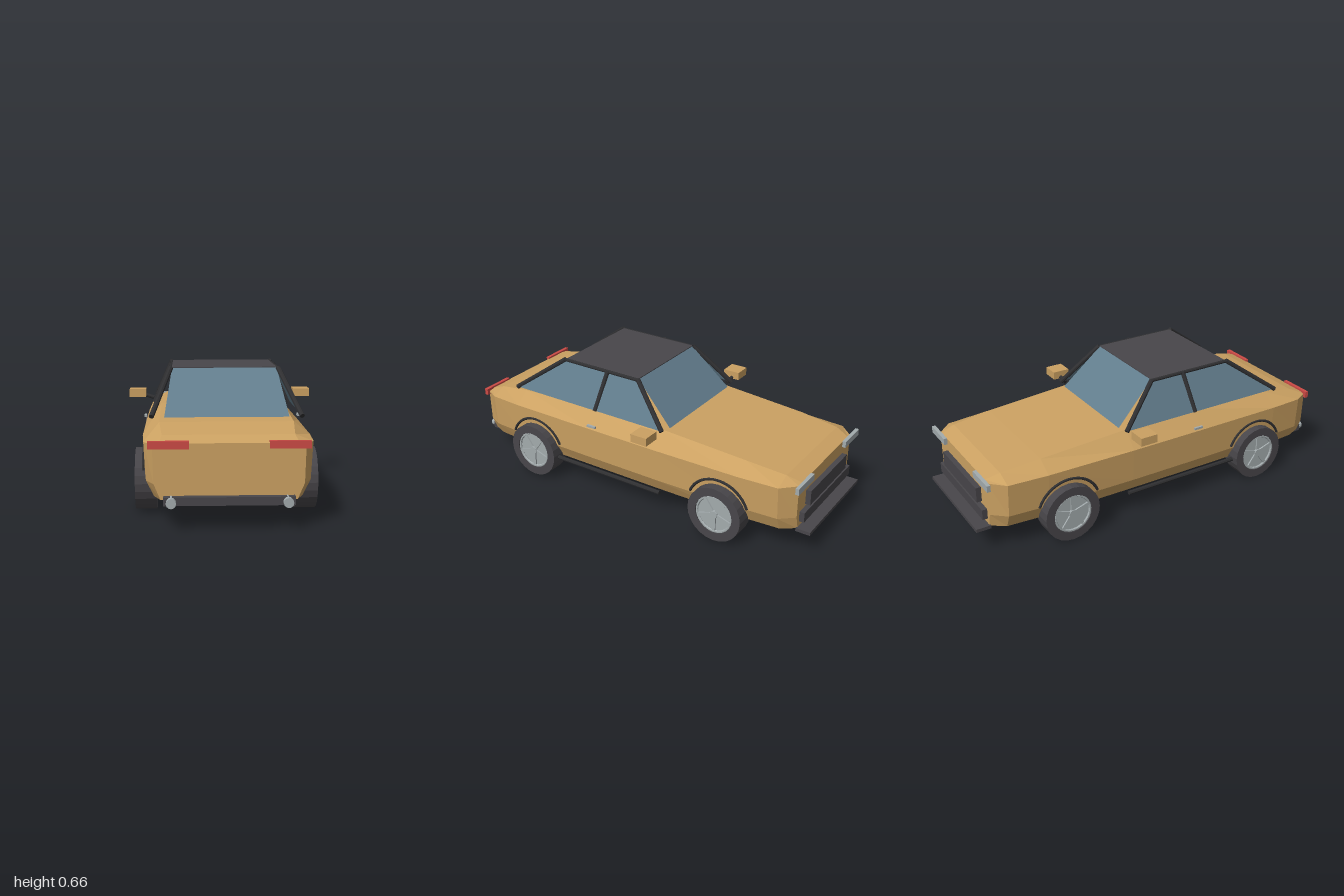
import * as THREE from 'three';

const mat = (name, color, side = THREE.FrontSide) =>
  new THREE.MeshStandardMaterial({ name, color, side, flatShading: true });

export function createModel() {
  const car = new THREE.Group();
  car.name = 'car';
  const paint = mat('tan paint', 0xcba162);
  const glass = mat('blue glass', 0x627d8d, THREE.DoubleSide);
  const dark = mat('dark grey', 0x48464a);
  const trim = mat('black trim', 0x2f2f31);
  const silver = mat('silver', 0xa3abad);
  const red = mat('red lens', 0xcc4a45);

  const add = (name, geo, material, parent = car) => {
    const m = new THREE.Mesh(geo, material);
    m.name = name;
    parent.add(m);
    return m;
  };
  // box given by its extents on each axis
  const box = (name, material, [x0, x1], [y0, y1], [z0, z1]) =>
    add(name, new THREE.BoxGeometry(Math.abs(x1 - x0), y1 - y0, z1 - z0), material)
      .position.set((x0 + x1) / 2, (y0 + y1) / 2, (z0 + z1) / 2);
  // round bar between two points
  const bar = (name, material, a, b, r, sides = 8) => {
    const p = new THREE.Vector3(...a), q = new THREE.Vector3(...b);
    const m = add(name, new THREE.CylinderGeometry(r, r, p.distanceTo(q), sides), material);
    m.position.copy(p).lerp(q, 0.5);
    m.quaternion.setFromUnitVectors(new THREE.Vector3(0, 1, 0), q.sub(p).normalize());
  };
  // flat four-cornered pane
  const pane = (name, a, b, c, d) => {
    const g = new THREE.BufferGeometry();
    g.setAttribute('position', new THREE.Float32BufferAttribute([...a, ...b, ...c, ...d], 3));
    g.setIndex([0, 1, 2, 0, 2, 3]);
    g.computeVertexNormals();
    add(name, g, glass);
  };

  // Body: faceted sections of z, sill, lower side, waist and top half-widths, top height
  const stations = [
    [-0.93, 0.27, 0.29, 0.29, 0.26, 0.37],
    [-0.86, 0.32, 0.35, 0.36, 0.28, 0.395],
    [-0.66, 0.335, 0.365, 0.375, 0.295, 0.415],
    [-0.2, 0.34, 0.375, 0.383, 0.305, 0.445],
    [0.2, 0.34, 0.375, 0.383, 0.305, 0.452],
    [0.68, 0.34, 0.372, 0.38, 0.305, 0.425],
    [0.86, 0.325, 0.36, 0.37, 0.29, 0.395],
    [0.935, 0.295, 0.325, 0.33, 0.3, 0.37],
  ];
  const pos = [], idx = [];
  for (const [z, sill, low, waist, top, h] of stations) {
    const half = [[sill, 0.125], [low, 0.195], [waist, 0.365], [top, h]];
    const ring = [...half, ...half.map(([x, y]) => [-x, y]).reverse()];
    ring.forEach(([x, y]) => pos.push(x, y, z));
  }
  const n = 8, last = (stations.length - 1) * n;
  for (let s = 0; s < last; s += n)
    for (let j = 0; j < n; j++) {
      const a = s + j, b = s + (j + 1) % n;
      idx.push(a, b, b + n, a, b + n, a + n);
    }
  for (let j = 1; j < n - 1; j++) idx.push(0, j + 1, j, last, last + j, last + j + 1);
  const bodyGeo = new THREE.BufferGeometry();
  bodyGeo.setAttribute('position', new THREE.Float32BufferAttribute(pos, 3));
  bodyGeo.setIndex(idx);
  bodyGeo.computeVertexNormals();
  add('body', bodyGeo, paint);

  // Roof and end windows
  box('roof', dark, [-0.257, 0.257], [0.638, 0.652], [-0.02, 0.43]);
  pane('windshield', [0.282, 0.45, -0.225], [-0.282, 0.45, -0.225], [-0.25, 0.648, -0.02], [0.25, 0.648, -0.02]);
  pane('rearWindow', [-0.282, 0.45, 0.71], [0.282, 0.45, 0.71], [0.25, 0.648, 0.43], [-0.25, 0.648, 0.43]);

  // Wheel pieces shared by all four wheels, axis along y before turning
  const w = 0.049, bore = 0.1;
  const tyreGeo = new THREE.LatheGeometry(
    [[bore, -w], [0.144, -w], [0.144, w], [bore, w], [bore, -w]].map(p => new THREE.Vector2(...p)), 24);
  const discGeo = new THREE.CylinderGeometry(bore, bore, 2 * w - 0.024, 24);
  const rimGeo = new THREE.TorusGeometry(0.094, 0.007, 6, 24).rotateX(Math.PI / 2);
  const hubGeo = new THREE.CylinderGeometry(0.02, 0.022, 0.014, 10);

  for (const s of [1, -1]) {
    const side = s > 0 ? 'left' : 'right';

    // Side windows and pillars
    const roofX = s * 0.255, beltX = s * 0.342;
    pane(side + 'FrontSideWindow', [beltX, 0.455, -0.2], [roofX, 0.648, -0.02], [roofX, 0.648, 0.165], [beltX, 0.455, 0.188]);
    pane(side + 'RearSideWindow', [beltX, 0.455, 0.188], [roofX, 0.648, 0.165], [roofX, 0.648, 0.43], [beltX, 0.455, 0.71]);
    for (const [name, zLow, zTop] of [['FrontPillar', -0.215, -0.02], ['MiddlePillar', 0.19, 0.165], ['RearPillar', 0.708, 0.435]])
      bar(side + name, trim, [s * 0.34, 0.453, zLow], [s * 0.256, 0.648, zTop], 0.012);
    bar(side + 'RoofRail', trim, [roofX, 0.645, -0.02], [roofX, 0.645, 0.435], 0.009);

    // Mirror, door handle and sill tube
    bar(side + 'MirrorArm', trim, [s * 0.355, 0.435, -0.18], [s * 0.41, 0.452, -0.185], 0.01);
    box(side + 'Mirror', paint, [s * 0.4, s * 0.488], [0.443, 0.485], [-0.225, -0.135]);
    box(side + 'DoorHandle', silver, [s * 0.382, s * 0.393], [0.381, 0.392], [0.155, 0.205]);
    bar(side + 'SillTube', trim, [s * 0.375, 0.128, -0.225], [s * 0.375, 0.128, 0.425], 0.011);

    // Lamps and exhaust
    box(side + 'TailLamp', red, [s * 0.172, s * 0.35], [0.347, 0.381], [0.928, 0.947]);
    box(side + 'HeadLamp', silver, [s * 0.18, s * 0.342], [0.35, 0.383], [-0.954, -0.936]);
    bar(side + 'Exhaust', silver, [s * 0.25, 0.122, 0.92], [s * 0.25, 0.122, 1], 0.022, 12);

    for (const z of [-0.56, 0.56]) {
      const end = z < 0 ? 'Front' : 'Rear';
      // Arch trim over the wheel
      const arc = Math.PI * 0.76;
      const arch = add(side + end + 'Arch', new THREE.TorusGeometry(0.167, 0.007, 6, 16, arc), trim);
      arch.geometry.rotateZ((Math.PI - arc) / 2).rotateY(Math.PI / 2);
      arch.position.set(s * 0.378, 0.147, z);

      // Wheel with five spokes
      const wheel = new THREE.Group();
      wheel.name = side + end + 'Wheel';
      wheel.position.set(s * 0.369, 0.144, z);
      wheel.rotation.z = -s * Math.PI / 2;
      car.add(wheel);
      add('tyre', tyreGeo, dark, wheel);
      add('wheelDisc', discGeo, silver, wheel);
      add('rim', rimGeo, silver, wheel).position.y = w - 0.008;
      add('hub', hubGeo, silver, wheel).position.y = w - 0.007;
      for (let k = 0; k < 5; k++) {
        const a = k * Math.PI * 2 / 5;
        const spoke = add('spoke', new THREE.BoxGeometry(0.078, 0.01, 0.018), silver, wheel);
        spoke.position.set(Math.cos(a) * 0.052, w - 0.009, -Math.sin(a) * 0.052);
        spoke.rotation.y = a;
      }
    }
  }

  // Bumpers and grille
  box('rearBumper', dark, [-0.283, 0.283], [0.106, 0.143], [0.93, 0.97]);
  box('frontBumper', dark, [-0.283, 0.283], [0.115, 0.132], [-1, -0.925]);
  box('upperGrille', dark, [-0.205, 0.205], [0.225, 0.302], [-0.956, -0.925]);
  box('lowerGrille', dark, [-0.262, 0.262], [0.16, 0.212], [-0.956, -0.925]);
  return car;
}
